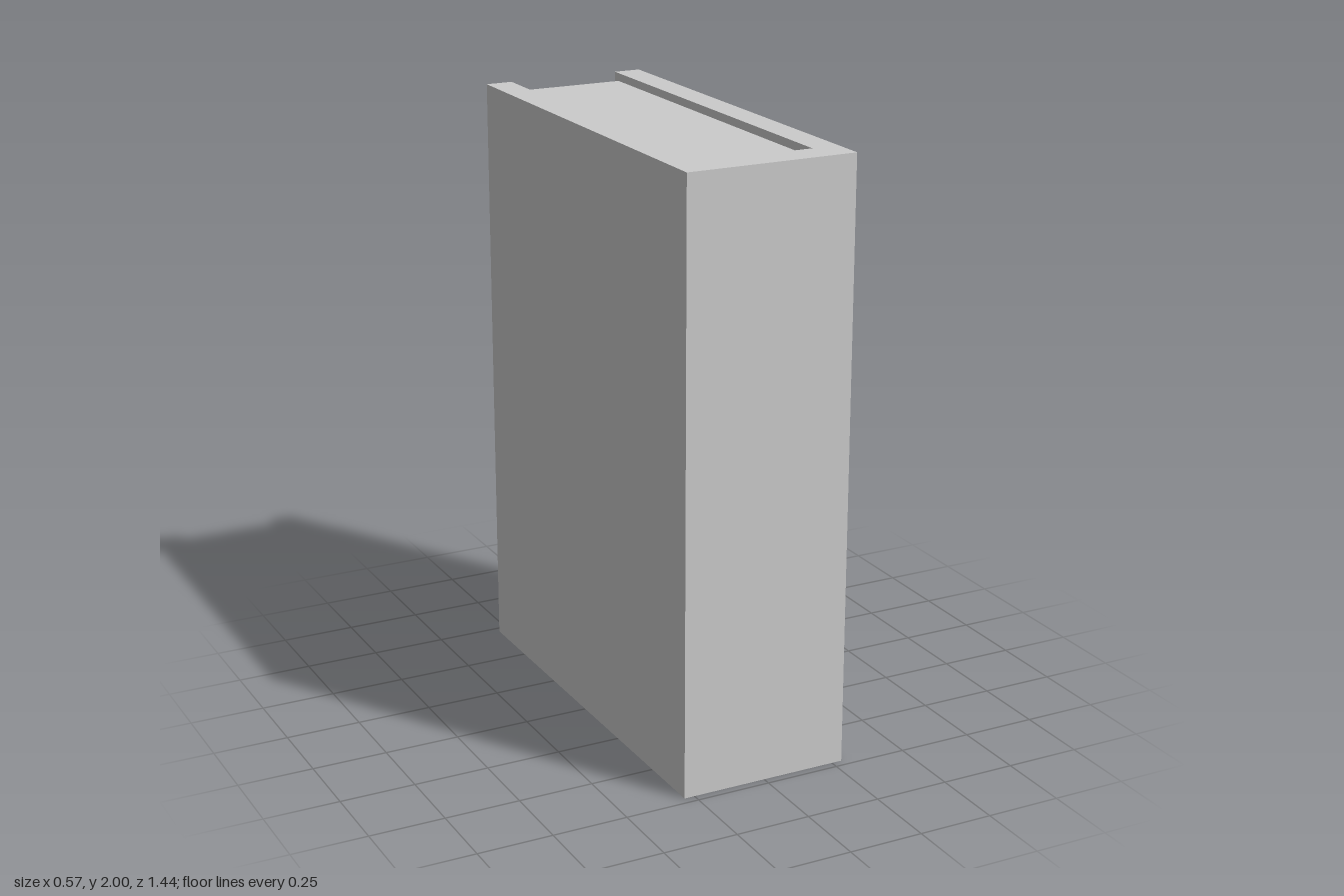
import * as THREE from 'three';

export function createModel() {
  const group = new THREE.Group();
  group.name = 'book';
  const material = new THREE.MeshStandardMaterial({ color: 0xcccccc, flatShading: true });

  const height = 2;
  const halfWidth = 0.285, halfDepth = 0.722;   // outside of the cover
  const innerHalf = 0.194, spineInner = 0.615;  // inside of the cover
  const recess = 0.027;                         // pages sit back from the cover edges

  // Cover: U-shaped section (two boards and the spine at +z), extruded upwards
  const section = new THREE.Shape([
    [-halfWidth, -halfDepth], [halfWidth, -halfDepth],
    [halfWidth, halfDepth], [innerHalf, halfDepth],
    [innerHalf, -spineInner], [-innerHalf, -spineInner],
    [-innerHalf, halfDepth], [-halfWidth, halfDepth],
  ].map(([x, y]) => new THREE.Vector2(x, y)));
  const coverGeometry = new THREE.ExtrudeGeometry(section, { depth: height, bevelEnabled: false });
  coverGeometry.rotateX(-Math.PI / 2);
  const cover = new THREE.Mesh(coverGeometry, material);
  cover.name = 'cover';
  group.add(cover);

  // Page block: recessed at the top, bottom and open back edge
  const back = -halfDepth + recess;
  const pages = new THREE.Mesh(
    new THREE.BoxGeometry(innerHalf * 2, height - recess * 2, spineInner - back), material);
  pages.name = 'pages';
  pages.position.set(0, height / 2, (spineInner + back) / 2);
  group.add(pages);

  return group;
}
